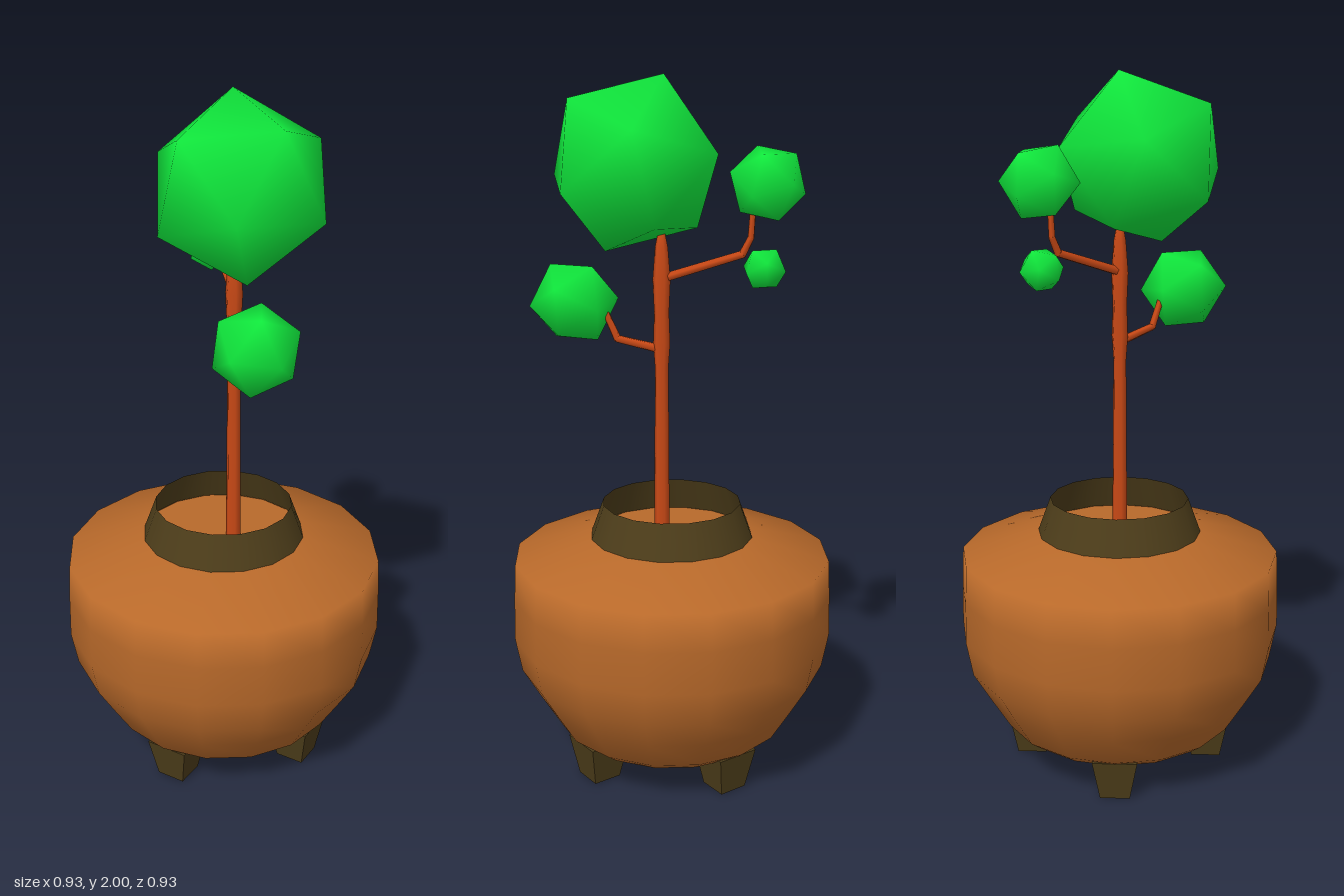
import * as THREE from 'three';
import { mergeVertices } from 'three/addons/utils/BufferGeometryUtils.js';

const mat = (color, side = THREE.FrontSide) => new THREE.MeshStandardMaterial({ color, side });
const V = (x, y, z) => new THREE.Vector3(x, y, z);

export function createModel() {
  const model = new THREE.Group();
  const clay = mat(0xb8692a, THREE.DoubleSide);
  const dark = mat(0x4d3d1a, THREE.DoubleSide);
  const bark = mat(0xcc4a16);
  const leaf = mat(0x10e83c);

  const add = (name, geometry, material, parent = model) => {
    const mesh = new THREE.Mesh(geometry, material);
    mesh.name = name;
    parent.add(mesh);
    return mesh;
  };
  const lathe = (points, sides) =>
    new THREE.LatheGeometry(points.map(([r, y]) => new THREE.Vector2(r, y)), sides);

  // Sixteen-sided pot with a sloping shoulder
  add('pot', lathe([
    [0, 0.1], [0.3, 0.1], [0.34, 0.13], [0.395, 0.22], [0.448, 0.31],
    [0.467, 0.41], [0.465, 0.53], [0.46, 0.64], [0.235, 0.7],
  ], 16), clay);
  add('collar', lathe([[0.238, 0.695], [0.2, 0.8]], 16), dark);
  add('soil', new THREE.CircleGeometry(0.236, 16).rotateX(-Math.PI / 2), clay).position.y = 0.698;

  // Four tapered square feet on the diagonals
  for (const sx of [-1, 1]) for (const sz of [-1, 1]) {
    const geometry = new THREE.CylinderGeometry(0.09, 0.06, 0.12, 4).toNonIndexed();
    geometry.computeVertexNormals();
    add('foot', geometry, dark).position.set(sx * 0.185, 0.06, sz * 0.185);
  }

  // Trunk, slightly swollen where the branches leave it
  add('trunk', lathe([
    [0.022, 0.69], [0.021, 0.95], [0.019, 1.2], [0.024, 1.27], [0.021, 1.36],
    [0.025, 1.45], [0.018, 1.54], [0.01, 1.58], [0, 1.6],
  ], 6), bark).position.set(0.024, 0, 0.024);

  // Branches: tapering five-sided pieces along a bent path
  const branch = (name, points, r0, r1) => {
    const group = new THREE.Group();
    group.name = name;
    const n = points.length - 1;
    for (let i = 0; i < n; i++) {
      const dir = points[i + 1].clone().sub(points[i]);
      const radius = k => r0 + (r1 - r0) * k / n;
      const piece = add('branchPiece',
        new THREE.CylinderGeometry(radius(i + 1), radius(i), dir.length() + 0.006, 5), bark, group);
      piece.position.copy(points[i]).addScaledVector(dir, 0.5);
      piece.quaternion.setFromUnitVectors(V(0, 1, 0), dir.normalize());
    }
    model.add(group);
  };
  branch('frontBranch', [V(0.022, 1.255, 0.03), V(0.022, 1.28, 0.15), V(0.022, 1.37, 0.19)], 0.013, 0.009);
  branch('backBranch', [V(0.022, 1.455, 0.015), V(0.022, 1.525, -0.2),
    V(0.022, 1.57, -0.222), V(0.022, 1.67, -0.228)], 0.013, 0.008);

  // Foliage: smooth-shaded icosahedra turned so two neighbouring corners point along a and b
  const foliage = (name, centre, radius, a, b) => {
    let geometry = new THREE.IcosahedronGeometry(radius, 0);
    geometry.deleteAttribute('normal');
    geometry.deleteAttribute('uv');
    geometry = mergeVertices(geometry, 1e-4);
    geometry.computeVertexNormals();
    a.normalize();
    b.normalize();
    const x = b.clone().sub(a).normalize();
    const y = b.clone().add(a).normalize();
    const z = x.clone().cross(y);
    const mesh = add(name, geometry, leaf);
    mesh.quaternion.setFromRotationMatrix(new THREE.Matrix4().makeBasis(x, y, z));
    mesh.position.copy(centre);
  };
  foliage('crownFoliage', V(0.02, 1.762, 0.1), 0.252, V(0, 0.238, -0.08), V(0.07, 0.033, -0.24));
  foliage('frontFoliage', V(0.02, 1.38, 0.273), 0.125, V(0.035, -0.01, 0.117), V(-0.005, 0.107, 0.067));
  foliage('backFoliage', V(0.02, 1.718, -0.265), 0.108, V(-0.03, -0.037, -0.1), V(-0.005, 0.08, -0.068));
  foliage('smallFoliage', V(0.022, 1.487, -0.26), 0.063, V(0, 0.055, -0.025), V(0.02, -0.01, -0.058));

  return model;
}
